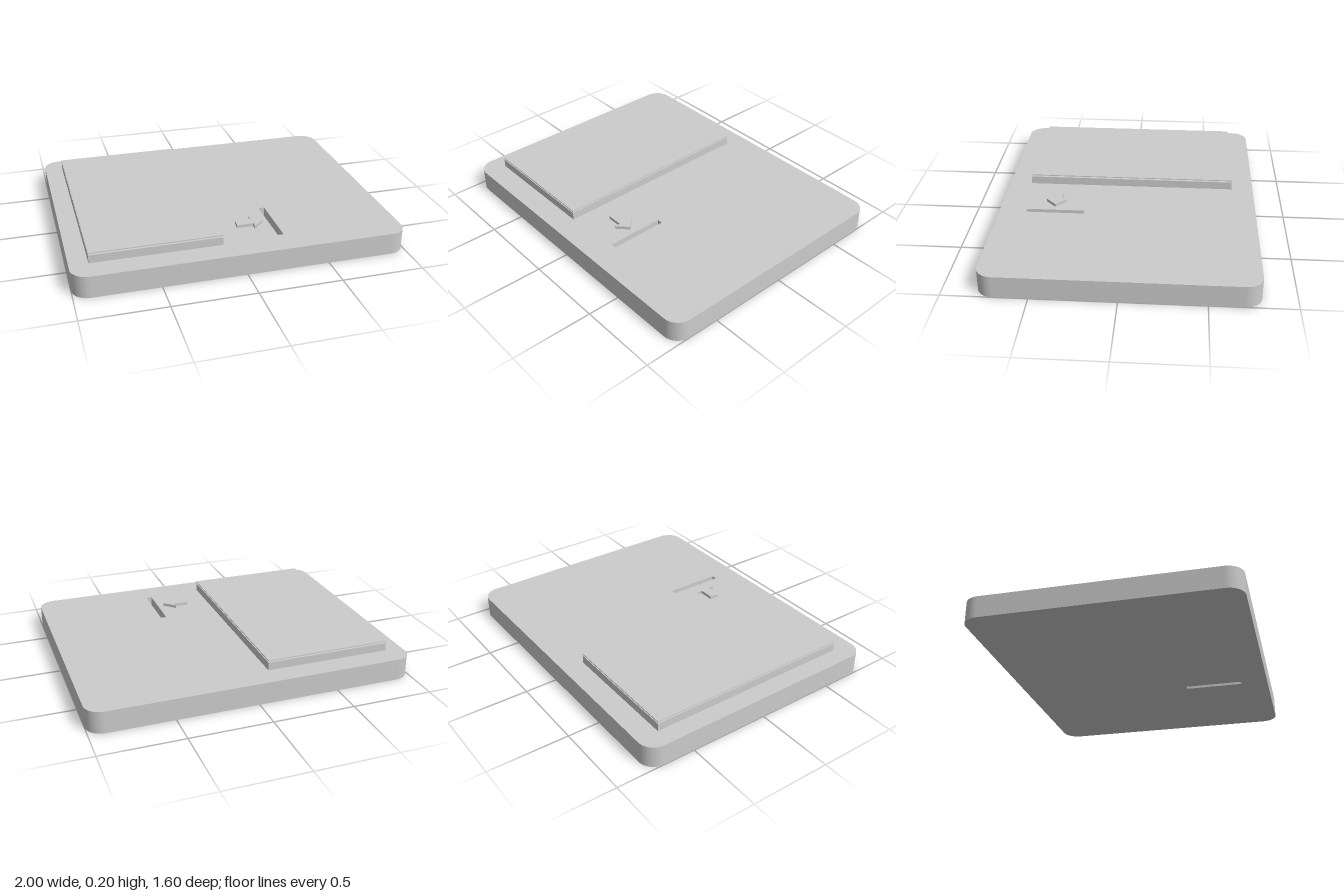
import * as THREE from 'three';
import { toCreasedNormals } from 'three/addons/utils/BufferGeometryUtils.js';

const material = new THREE.MeshStandardMaterial({ color: 0xcccccc });

// Outline from [x, z] points; the shape plane's y is -z once laid flat
const outline = (points) => new THREE.Shape(points.map(([x, z]) => new THREE.Vector2(x, -z)));

const rectangle = (x0, x1, z0, z1) => outline([[x0, z1], [x1, z1], [x1, z0], [x0, z0]]);

function roundedRectangle(halfX, halfZ, r) {
  const s = new THREE.Shape();
  s.absarc(halfX - r, halfZ - r, r, 0, Math.PI / 2);
  s.absarc(r - halfX, halfZ - r, r, Math.PI / 2, Math.PI);
  s.absarc(r - halfX, r - halfZ, r, Math.PI, Math.PI * 1.5);
  s.absarc(halfX - r, r - halfZ, r, Math.PI * 1.5, Math.PI * 2);
  s.closePath();
  return s;
}

// Flat slab standing between two heights
function slab(name, shape, bottom, top) {
  const geometry = new THREE.ExtrudeGeometry(shape, {
    depth: top - bottom, bevelEnabled: false, curveSegments: 12,
  });
  geometry.rotateX(-Math.PI / 2);
  geometry.translate(0, bottom, 0);
  const mesh = new THREE.Mesh(toCreasedNormals(geometry, Math.PI / 6), material);
  mesh.name = name;
  return mesh;
}

export function createModel() {
  const model = new THREE.Group();
  model.name = 'slottedPanel';
  const deck = 0.135;

  // Rounded base with a slot cut right through
  const base = roundedRectangle(1, 0.8, 0.1);
  base.holes.push(rectangle(0.236, 0.272, 0.27, 0.63));
  model.add(slab('base', base, 0, deck));

  // Raised block with a thin cover sheet hovering just above it
  const screen = rectangle(-0.887, -0.108, -0.662, 0.658);
  model.add(slab('raisedBlock', screen, deck, 0.185));
  model.add(slab('coverSheet', screen, 0.194, 0.2));

  // Raised arrow pointing at the slot
  const arrow = outline([
    [0.028, 0.485], [0.13, 0.485], [0.13, 0.522], [0.198, 0.457],
    [0.13, 0.392], [0.13, 0.423], [0.034, 0.423],
  ]);
  model.add(slab('arrow', arrow, deck, 0.154));

  return model;
}
